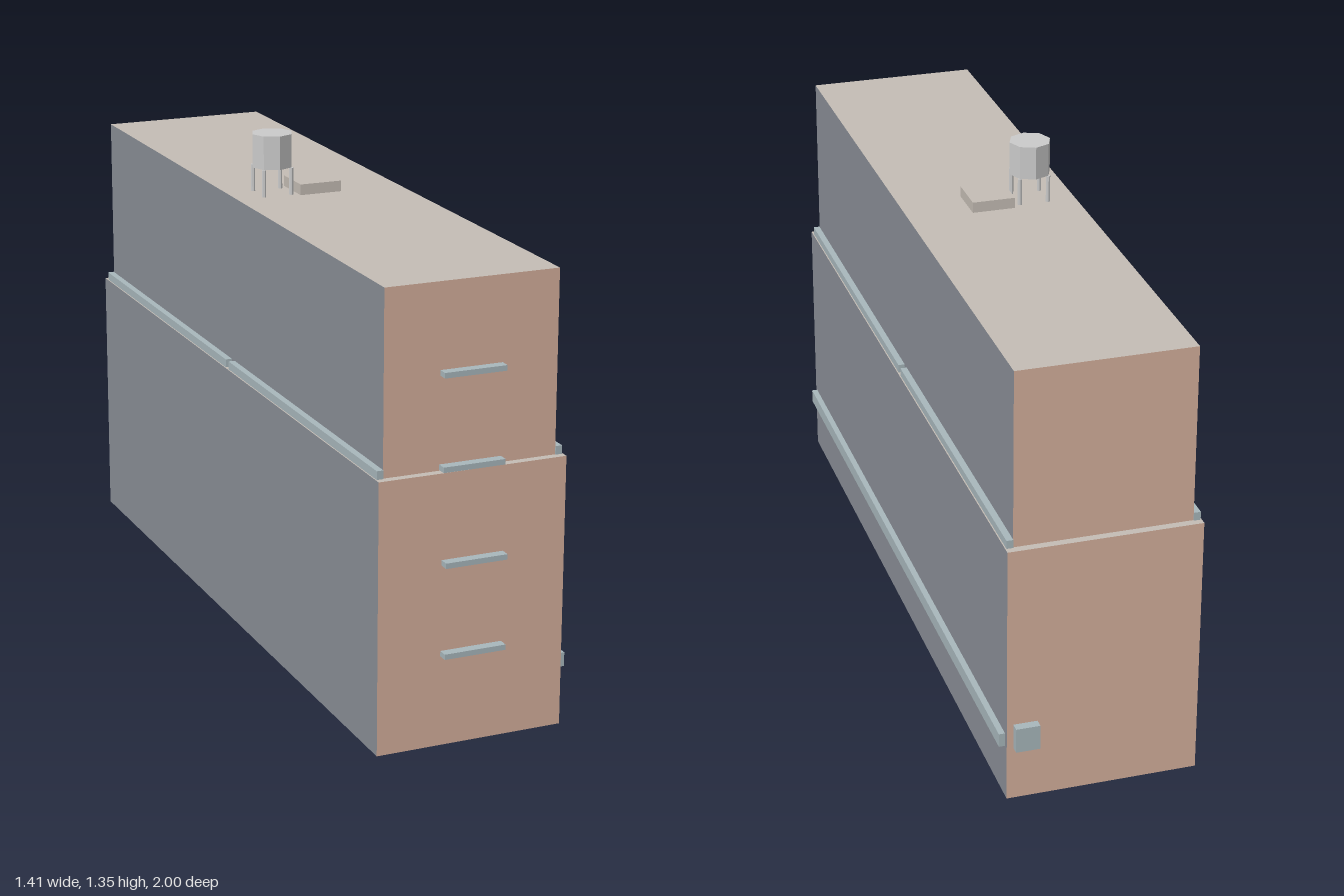
import * as THREE from 'three';

const mat = (color) => new THREE.MeshStandardMaterial({ color, flatShading: true });

export function createModel() {
  const model = new THREE.Group();
  model.name = 'container';

  // everything is built square, then turned as one body
  const body = new THREE.Group();
  body.name = 'body';
  body.rotation.y = THREE.MathUtils.degToRad(-28.75);
  body.position.x = -0.003;
  model.add(body);

  const side = mat(0x8a8f97), end = mat(0xd6b09d), roof = mat(0xc6beb6);
  const base = mat(0x6c726b), trim = mat(0xa9b8bd), grey = mat(0xcccccc);
  const shell = [side, side, roof, base, end, end];

  // box given by its min and max corners
  function box(name, min, max, material, parent = body) {
    const s = max.map((v, i) => v - min[i]);
    const m = new THREE.Mesh(new THREE.BoxGeometry(...s), material);
    m.position.set(...min.map((v, i) => v + s[i] / 2));
    m.name = name;
    parent.add(m);
    return m;
  }

  // main volumes
  const lowerL = 1.002, upperL = 0.981, upperW = 0.2315;
  box('lowerBody', [-0.252, 0, -lowerL], [0.252, 0.713, lowerL], shell);
  box('upperBody', [-upperW, 0.713, -upperL], [upperW, 1.187, upperL], shell);

  // split rails lying on the ledge of both long sides
  for (const sx of [-1, 1]) {
    for (const sz of [-1, 1]) {
      const x = [sx * upperW, sx * 0.249].sort((a, b) => a - b);
      const z = [sz * 0.01, sz * 0.984].sort((a, b) => a - b);
      box('ledgeRail', [x[0], 0.713, z[0]], [x[1], 0.735, z[1]], trim);
    }
  }

  // long low rail on one side and the small box on the back end
  box('sideRail', [0.252, 0.149, -0.987], [0.268, 0.186, 0.99], trim);
  box('endBox', [0.172, 0.15, -1.026], [0.235, 0.218, -lowerL], trim);

  // rungs up the front end
  [[0.245, lowerL], [0.483, lowerL], [0.722, upperL], [0.96, upperL]].forEach(([y, z]) =>
    box('rung', [-0.083, y - 0.007, z], [0.083, y + 0.007, z + 0.026], trim));

  // roof hatch
  box('hatch', [-0.058, 1.187, -0.058], [0.058, 1.216, 0.058], roof);

  // octagonal tank on four legs
  const tank = new THREE.Group();
  tank.name = 'tank';
  tank.position.set(-0.116, 1.187, 0);
  body.add(tank);
  const drum = new THREE.Mesh(new THREE.CylinderGeometry(0.056, 0.056, 0.09, 8), grey);
  drum.name = 'drum';
  drum.position.y = 0.118;
  tank.add(drum);
  for (const sx of [-1, 1]) {
    for (const sz of [-1, 1]) {
      const leg = new THREE.Mesh(new THREE.CylinderGeometry(0.006, 0.006, 0.073, 8), grey);
      leg.name = 'tankLeg';
      leg.position.set(sx * 0.039, 0.0365, sz * 0.039);
      tank.add(leg);
    }
  }
  return model;
}
